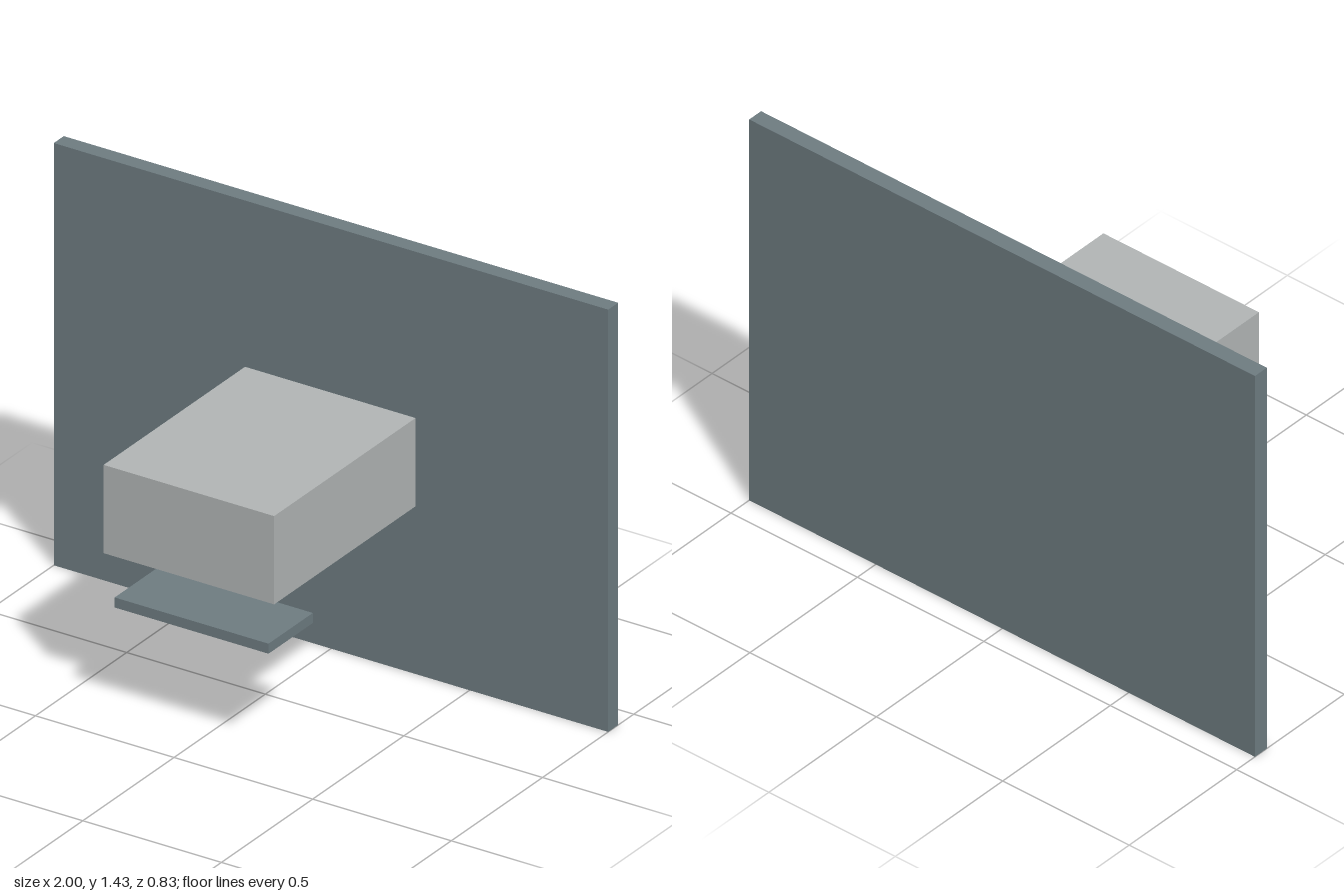
import * as THREE from 'three';

export function createModel() {
  const group = new THREE.Group();
  const slate = new THREE.MeshStandardMaterial({ name: 'slate grey', color: 0x6f7d82 });
  const pale = new THREE.MeshStandardMaterial({ name: 'pale grey', color: 0xb3b7b7 });

  // Box given by its lower and upper limits on each axis
  function block(name, material, [x0, x1], [y0, y1], [z0, z1]) {
    const mesh = new THREE.Mesh(new THREE.BoxGeometry(x1 - x0, y1 - y0, z1 - z0), material);
    mesh.position.set((x0 + x1) / 2, (y0 + y1) / 2, (z0 + z1) / 2);
    mesh.name = name;
    group.add(mesh);
  }

  // Wall panel with the housing projecting from it
  block('backPanel', slate, [-1, 1], [0, 1.43], [-0.415, -0.36]);
  block('housing', pale, [-0.31, 0.305], [0.568, 0.867], [-0.36, 0.415]);

  // Fittings under the housing
  block('frontPad', slate, [-0.215, 0.21], [0.532, 0.568], [0.037, 0.264]);
  block('middlePad', slate, [0.095, 0.21], [0.526, 0.568], [-0.207, -0.094]);
  block('rearPad', slate, [-0.04, 0.03], [0.526, 0.568], [-0.35, -0.28]);

  // Separate tray below the front
  block('tray', slate, [-0.28, 0.275], [0.386, 0.42], [0.157, 0.4]);

  return group;
}
